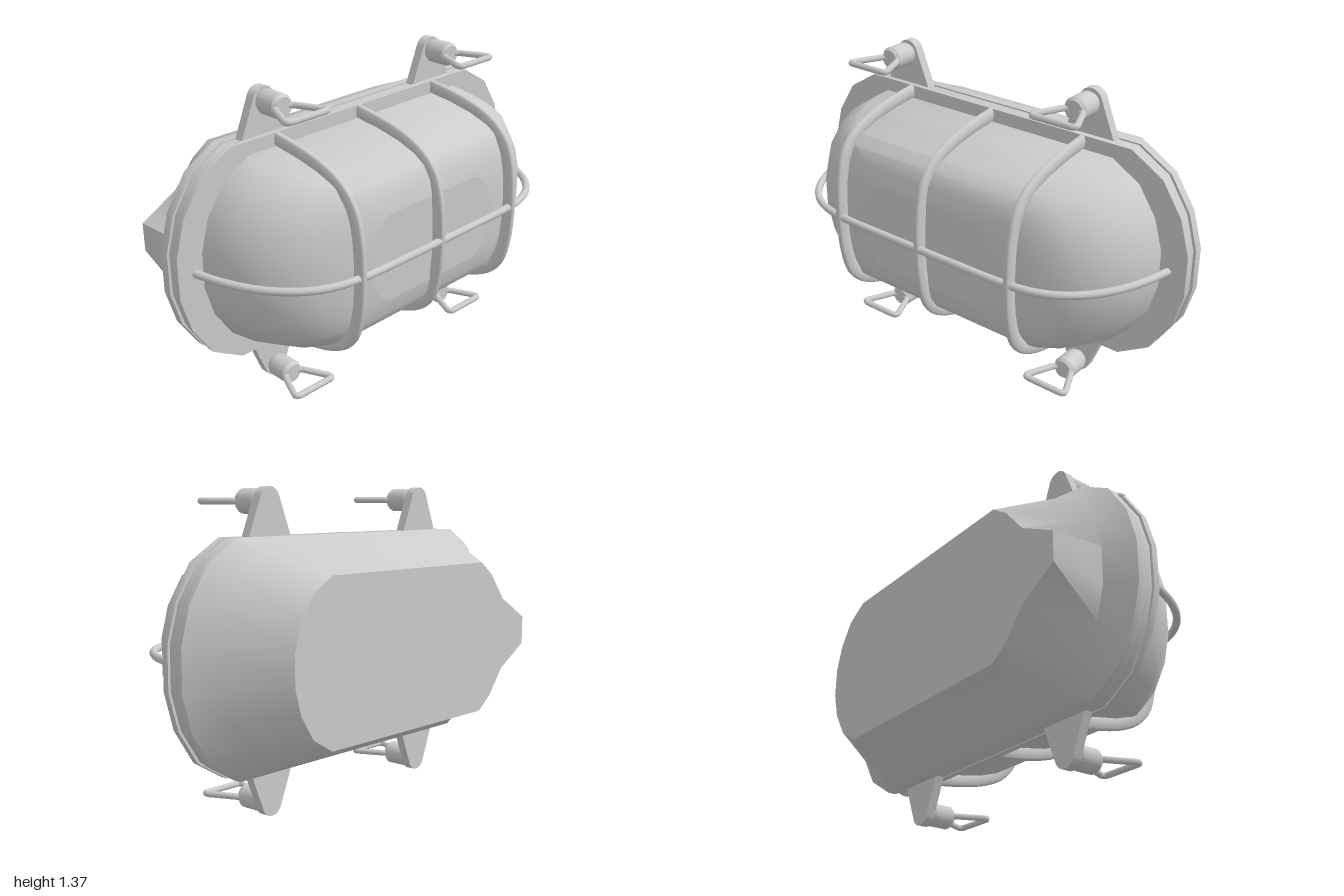
import * as THREE from 'three';
import { mergeGeometries, toCreasedNormals } from 'three/addons/utils/BufferGeometryUtils.js';

const CY = 0.685; // height of the lamp's centre line
const V = (x, y, z) => new THREE.Vector3(x, y, z);

// Quarter of the faceted oval, in units of its half width and half height
const QUARTER = [[1, 0.19], [0.955, 0.515], [0.86, 0.815], [0.71, 1]];

// Full ring from quarter points, counter-clockwise seen from the front
function ringFrom(right, left, z) {
  const flip = (pts, sx, sy) => pts.map(([x, y]) => V(x * sx, CY + y * sy, z));
  return [
    ...flip(right, 1, 1), ...flip(left, -1, 1).reverse(),
    ...flip(left, -1, -1), ...flip(right, 1, -1).reverse(),
  ];
}

function oval(hx, hy, z) {
  const q = QUARTER.map(([x, y]) => [x * hx, y * hy]);
  return ringFrom(q, q, z);
}

// Skin over closed rings, with flat caps on both ends
function loft(rings, crease = 0.7) {
  const n = rings[0].length;
  const index = [];
  for (let i = 0; i < rings.length - 1; i++) {
    for (let j = 0; j < n; j++) {
      const a = i * n + j, b = i * n + (j + 1) % n;
      index.push(a, b, b + n, a, b + n, a + n);
    }
  }
  const skin = new THREE.BufferGeometry().setFromPoints(rings.flat());
  skin.setIndex(index);
  const cap = (ring, reversed) => {
    const mid = ring.reduce((s, p) => s.add(p), V(0, 0, 0)).divideScalar(n);
    const tris = ring.flatMap((p, j) => {
      const q = ring[(j + 1) % n];
      return reversed ? [mid, q, p] : [mid, p, q];
    });
    const g = new THREE.BufferGeometry().setFromPoints(tris);
    g.computeVertexNormals();
    return g;
  };
  return mergeGeometries([
    toCreasedNormals(skin, crease), cap(rings[0], true), cap(rings[rings.length - 1], false),
  ]);
}

export function createModel() {
  const model = new THREE.Group();
  model.name = 'bulkheadLamp';
  const material = new THREE.MeshStandardMaterial({ color: 0xcccccc });
  const add = (name, geometry, parent = model) => {
    const mesh = new THREE.Mesh(geometry, material);
    mesh.name = name;
    parent.add(mesh);
    return mesh;
  };

  // Housing: flat back, drawn out to a blunt point on the right end
  const backLeft = QUARTER.map(([x, y]) => [x * 0.72, y * 0.345]);
  const backRight = [[0.88, 0.065], [0.7, 0.165], [0.6, 0.285], [0.515, 0.345]];
  add('housing', loft([
    ringFrom(backLeft, backRight, -0.47),
    oval(0.89, 0.435, -0.235),
    oval(1, 0.485, -0.155),
    oval(1, 0.485, -0.115),
  ]));

  // Gasket and front rim
  add('gasket', loft([oval(0.988, 0.479, -0.115), oval(0.988, 0.479, -0.075)]));
  add('frontRim', loft([oval(1, 0.485, -0.075), oval(1, 0.485, -0.047)]));

  // Domed glass with a flat front
  add('glass', loft([
    [0.88, 0.425, -0.05], [0.86, 0.415, 0.08], [0.805, 0.393, 0.2],
    [0.715, 0.36, 0.3], [0.62, 0.325, 0.355], [0.5, 0.27, 0.39], [0.38, 0.2, 0.405],
  ].map((r) => oval(...r))));

  // Upright cage bars: deep, narrow, rounded section swept over the glass
  const half = [[0.457, -0.05], [0.435, 0.1], [0.402, 0.235], [0.355, 0.33],
    [0.287, 0.392], [0.175, 0.425], [0.06, 0.436]];
  const full = [...half, ...half.map(([y, z]) => [-y, z]).reverse()];
  const arch = new THREE.CatmullRomCurve3(full.map(([y, z]) => V(0, CY + y, z)));
  const rings = [];
  for (let i = 0; i <= 48; i++) {
    const p = arch.getPointAt(i / 48), t = arch.getTangentAt(i / 48);
    const out = V(0, t.z, -t.y);
    const ring = [];
    for (let k = 0; k < 12; k++) {
      const a = (k / 12) * Math.PI * 2, c = Math.cos(a);
      const depth = 0.031 * Math.sign(c) * Math.sqrt(Math.abs(c));
      ring.push(p.clone().addScaledVector(out, depth).add(V(-0.016 * Math.sin(a), 0, 0)));
    }
    rings.push(ring);
  }
  const barGeometry = loft(rings, 0.9);
  for (const x of [-0.47, -0.003, 0.475]) add('uprightCageBar', barGeometry).position.x = x;

  // Long cage bar running from end to end
  const side = [[0.918, -0.055], [0.885, 0.08], [0.83, 0.21], [0.755, 0.315],
    [0.67, 0.385], [0.57, 0.427], [0.44, 0.446], [0.2, 0.45]];
  const span = [...side, ...side.map(([x, z]) => [-x, z]).reverse()];
  const spanCurve = new THREE.CatmullRomCurve3(span.map(([x, z]) => V(x, CY, z)));
  add('longCageBar', new THREE.TubeGeometry(spanCurve, 80, 0.017, 10));

  // Clamp lug: tapered plate with a rounded tip
  const lug = new THREE.Shape();
  lug.moveTo(-0.125, -0.16);
  lug.lineTo(0.125, -0.16);
  lug.lineTo(0.052, 0.02);
  lug.absarc(0, 0, 0.056, 0.36, Math.PI - 0.36, false);
  lug.closePath();
  const lugGeometry = new THREE.ExtrudeGeometry(lug, { depth: 0.042, bevelEnabled: false, curveSegments: 8 });
  lugGeometry.translate(0, 0.004, -0.115);

  // Knob with chamfered ends
  const knobProfile = [[0, -0.075], [0.042, -0.075], [0.053, -0.055], [0.053, 0.035], [0.042, 0.05], [0, 0.05]];
  const knobGeometry = toCreasedNormals(
    new THREE.LatheGeometry(knobProfile.map(([r, h]) => new THREE.Vector2(r, h)), 20).rotateX(Math.PI / 2), 0.5);

  // Wire handle: closed trapezoid loop with soft corners
  const corners = [V(-0.04, 0, 0.035), V(0.04, 0, 0.035), V(0.112, 0, 0.195), V(-0.112, 0, 0.195)];
  const loop = new THREE.CurvePath();
  const toward = (a, b, d) => a.clone().addScaledVector(b.clone().sub(a).normalize(), d);
  corners.forEach((c, i) => {
    const prev = corners[(i + 3) % 4], next = corners[(i + 1) % 4];
    const end = toward(c, next, 0.03);
    loop.add(new THREE.QuadraticBezierCurve3(toward(c, prev, 0.03), c, end));
    loop.add(new THREE.LineCurve3(end, toward(next, c, 0.03)));
  });
  const handleGeometry = new THREE.TubeGeometry(loop, 64, 0.0145, 8, true);

  // Four clamps, the lower pair turned over
  for (const x of [-0.51, 0.49]) {
    for (const top of [true, false]) {
      const clamp = new THREE.Group();
      clamp.name = top ? 'upperClamp' : 'lowerClamp';
      clamp.position.set(x, CY + (top ? 0.625 : -0.625), 0);
      if (!top) clamp.rotation.z = Math.PI;
      add('lug', lugGeometry, clamp);
      add('knob', knobGeometry, clamp);
      add('handle', handleGeometry, clamp);
      model.add(clamp);
    }
  }
  return model;
}
